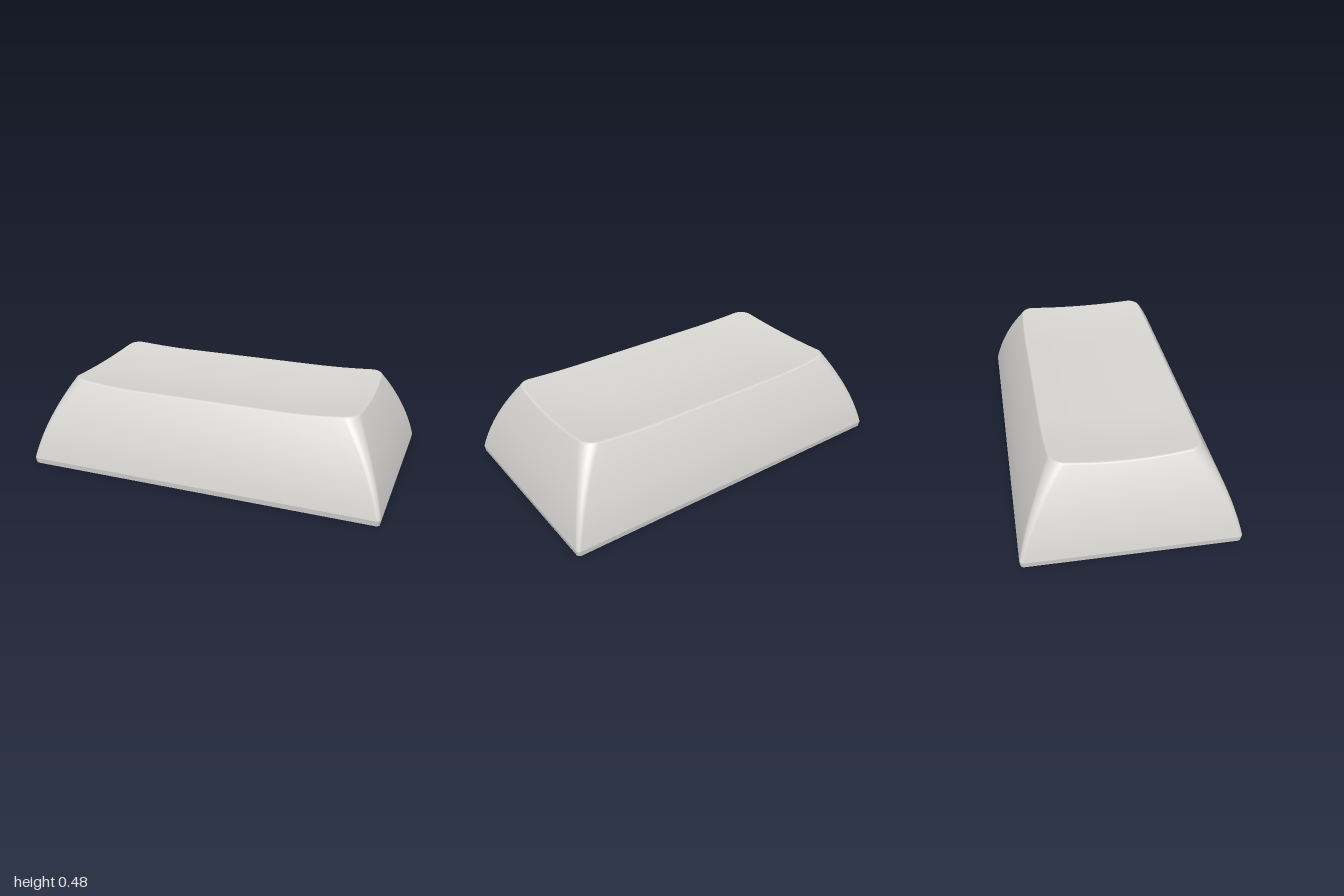
import * as THREE from 'three';

const BAND = 0.03;            // height of the straight band at the foot
const WALL_TOP = 0.472;       // nominal height where the wall meets the top edge
const HX = 1, HZ = 0.565;     // half sizes of the foot
const FOOT = 0.004;           // slight tuck of the band at the very bottom

// Scooped top surface: lowest in the middle, raised toward the corners
const dish = (x, z) =>
  0.436 + 0.024 * Math.max(0, (Math.abs(x) - 0.4) / 0.4) ** 2 + 0.024 * (z / 0.37) ** 2;

// How far the curved wall leans in at height y
const inset = (y) => 0.22 * (y - BAND) + 0.42 * (y - BAND) ** 2;

// Rounded rectangle as points { x, z, nx, nz }, with subdivided straight sides
function outline(hx, hz, r) {
  const corners = [[1, 1], [-1, 1], [-1, -1], [1, -1]];
  const arcs = corners.map(([sx, sz], k) => {
    const arc = [];
    for (let i = 0; i <= 8; i++) {
      const a = (k + i / 8) * Math.PI / 2;
      const nx = Math.cos(a), nz = Math.sin(a);
      arc.push({ x: sx * (hx - r) + r * nx, z: sz * (hz - r) + r * nz, nx, nz });
    }
    return arc;
  });
  const points = [];
  arcs.forEach((arc, k) => {
    points.push(...arc);
    const a = arc[8], b = arcs[(k + 1) % 4][0];
    const n = k % 2 ? 14 : 24;
    for (let i = 1; i < n; i++) {
      const t = i / n;
      points.push({ x: a.x + (b.x - a.x) * t, z: a.z + (b.z - a.z) * t, nx: a.nx, nz: a.nz });
    }
  });
  return points;
}

// Skin a stack of closed rings, ordered from the foot to the top centre
function skin(rings) {
  const n = rings[0].length, index = [];
  for (let i = 0; i < rings.length - 1; i++) {
    for (let j = 0; j < n; j++) {
      const a = i * n + j, b = i * n + (j + 1) % n, c = a + n, d = b + n;
      index.push(a, c, b, b, c, d);
    }
  }
  const geometry = new THREE.BufferGeometry();
  geometry.setAttribute('position', new THREE.Float32BufferAttribute(rings.flat(2), 3));
  geometry.setIndex(index);
  geometry.computeVertexNormals();
  return geometry;
}

// Narrow band around the foot
function bandGeometry() {
  return skin([
    outline(HX - FOOT, HZ - FOOT, 0.02).map((p) => [p.x, 0, p.z]),
    outline(HX, HZ, 0.02).map((p) => [p.x, BAND, p.z]),
  ]);
}

function shellGeometry() {
  const rings = [];

  // Curved walls; the corner radius grows with height
  let edge;
  const steps = 16;
  for (let i = 0; i <= steps; i++) {
    const t = i / steps, nominal = inset(BAND + (WALL_TOP - BAND) * t);
    edge = outline(HX - nominal, HZ - nominal, 0.02 + 0.055 * t).map((p) => {
      const y = BAND + (dish(p.x, p.z) - 0.01 - BAND) * t;
      const shift = nominal - inset(y);
      return { ...p, x: p.x + p.nx * shift, z: p.z + p.nz * shift };
    });
    rings.push(edge.map((p) => [p.x, BAND + (dish(p.x, p.z) - 0.01 - BAND) * t, p.z]));
  }

  // Softened top edge
  const inner = (p, e) => [p.x - p.nx * e, p.z - p.nz * e];
  for (const [e, drop] of [[0.004, 0.004], [0.009, 0.001], [0.016, 0]]) {
    rings.push(edge.map((p) => {
      const [x, z] = inner(p, e);
      return [x, dish(x, z) - drop, z];
    }));
  }

  // Dished top
  for (let i = 15; i >= 0; i--) {
    rings.push(edge.map((p) => {
      const [x, z] = inner(p, 0.016).map((v) => v * i / 16);
      return [x, dish(x, z), z];
    }));
  }
  return skin(rings);
}

// Flat underside between the outer wall and the opening
function rimGeometry(openX, openZ) {
  const shape = new THREE.Shape(
    outline(HX - FOOT, HZ - FOOT, 0.02).map((p) => new THREE.Vector2(p.x, p.z)));
  shape.holes.push(new THREE.Path([
    [-openX, -openZ], [-openX, openZ], [openX, openZ], [openX, -openZ],
  ].map(([x, z]) => new THREE.Vector2(x, z))));
  return new THREE.ShapeGeometry(shape).rotateX(Math.PI / 2);
}

// Tapered hollow: a box turned inside out, without its floor
function cavityGeometry(openX, openZ, height, taper) {
  const geometry = new THREE.BoxGeometry(2 * openX, height, 2 * openZ).translate(0, height / 2, 0);
  const pos = geometry.attributes.position;
  for (let i = 0; i < pos.count; i++) {
    if (pos.getY(i) < height / 2) continue;
    pos.setX(i, Math.sign(pos.getX(i)) * (openX - taper));
    pos.setZ(i, Math.sign(pos.getZ(i)) * (openZ - taper));
  }
  const index = Array.from(geometry.index.array).filter((_, i) => i < 18 || i >= 24);
  geometry.setIndex(index.reverse());
  geometry.clearGroups();
  geometry.computeVertexNormals();
  return geometry;
}

// Round post with a cross-shaped socket
function stemGeometry(radius, height) {
  const shape = new THREE.Shape().absarc(0, 0, radius, 0, Math.PI * 2, false);
  const a = 0.119, w = 0.037;
  const cross = [];
  for (let k = 0; k < 4; k++) {
    for (const [x, y] of [[a, -w], [a, w], [w, w]]) {
      cross.push(new THREE.Vector2(x, y).rotateAround(new THREE.Vector2(), k * Math.PI / 2));
    }
  }
  shape.holes.push(new THREE.Path(cross));
  const geometry = new THREE.ExtrudeGeometry(shape, { depth: height, bevelEnabled: false, curveSegments: 20 });
  return geometry.rotateX(-Math.PI / 2);
}

export function createModel() {
  const plastic = new THREE.MeshStandardMaterial({ color: 0xd8d6d3 });
  plastic.name = 'light grey plastic';
  const group = new THREE.Group();
  group.name = 'keycap';
  const add = (name, geometry) => {
    const mesh = new THREE.Mesh(geometry, plastic);
    mesh.name = name;
    group.add(mesh);
  };

  const openX = HX - 0.06, openZ = HZ - 0.06, depth = 0.31;
  add('footBand', bandGeometry());
  add('outerShell', shellGeometry());
  add('bottomRim', rimGeometry(openX, openZ));
  add('innerCavity', cavityGeometry(openX, openZ, depth, 0.11));
  add('stem', stemGeometry(0.17, depth));
  return group;
}
